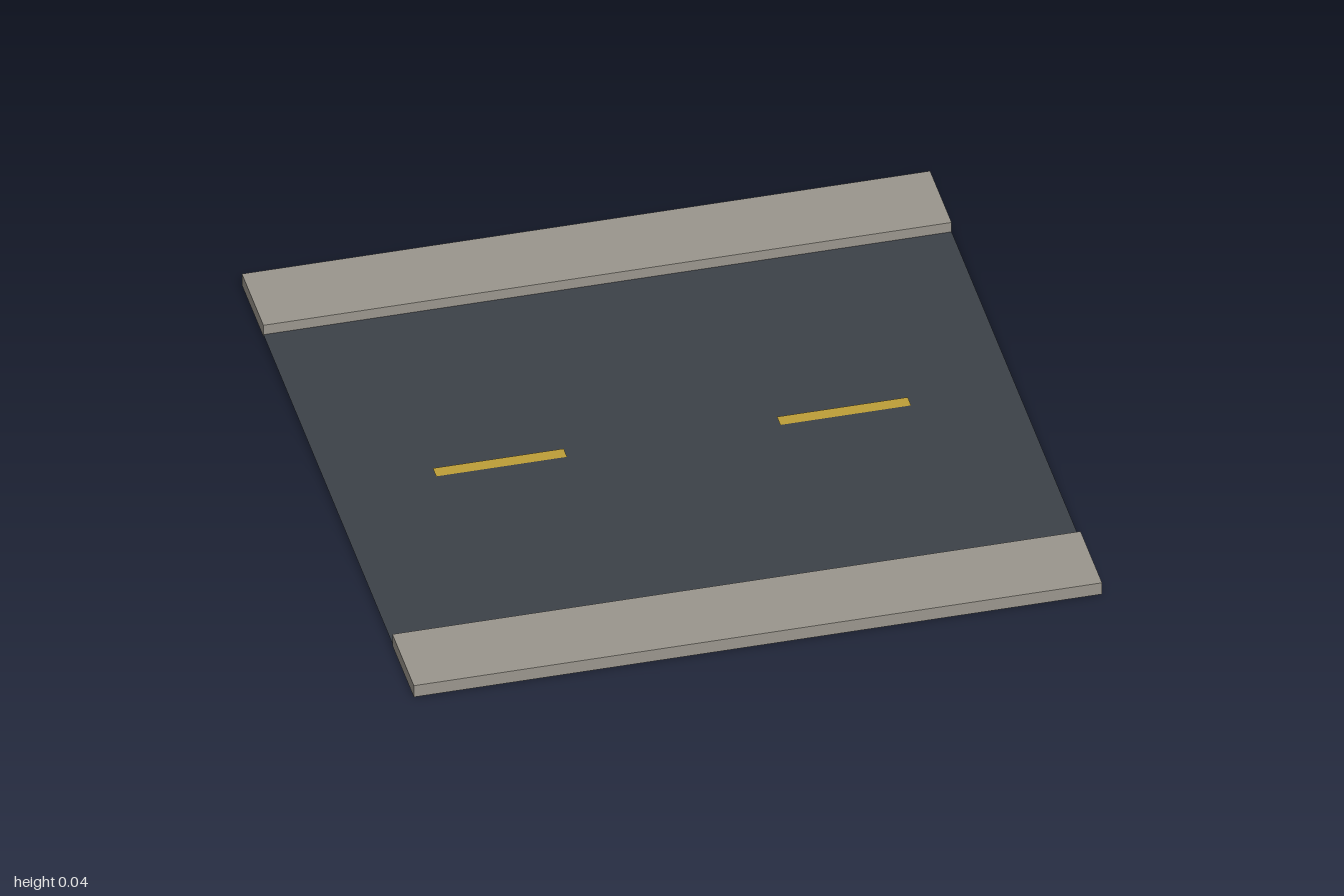
import * as THREE from 'three';

const material = (name, color) =>
  new THREE.MeshStandardMaterial({ name, color, side: THREE.DoubleSide });

// Box without its underside
function openBox(w, h, d) {
  const geo = new THREE.BoxGeometry(w, h, d);
  const index = Array.from(geo.index.array);
  index.splice(18, 6);
  geo.setIndex(index);
  geo.clearGroups();
  return geo;
}

// Flat horizontal sheet facing up
const sheet = (w, d) => new THREE.PlaneGeometry(w, d).rotateX(-Math.PI / 2);

export function createModel() {
  const asphalt = material('asphalt', 0x3c4148);
  const concrete = material('concrete', 0x9a968d);
  const yellowPaint = material('yellow paint', 0xbd9e38);

  const group = new THREE.Group();
  group.name = 'roadTile';
  const add = (name, geo, mat, x, y, z) => {
    const mesh = new THREE.Mesh(geo, mat);
    mesh.name = name;
    mesh.position.set(x, y, z);
    group.add(mesh);
  };

  // Road surface
  add('roadSurface', sheet(2, 1.5), asphalt, 0, 0.007, 0);

  // Raised pavements, hollow underneath
  for (const [name, side] of [['frontSidewalk', 1], ['backSidewalk', -1]]) {
    add(name, openBox(2, 0.04, 0.25), concrete, 0, 0.02, side * 0.875);
  }

  // Dashed centre line
  for (const [name, side] of [['leftLaneDash', 1], ['rightLaneDash', -1]]) {
    add(name, sheet(0.38, 0.04), yellowPaint, side * 0.5, 0.01, 0);
  }
  return group;
}
